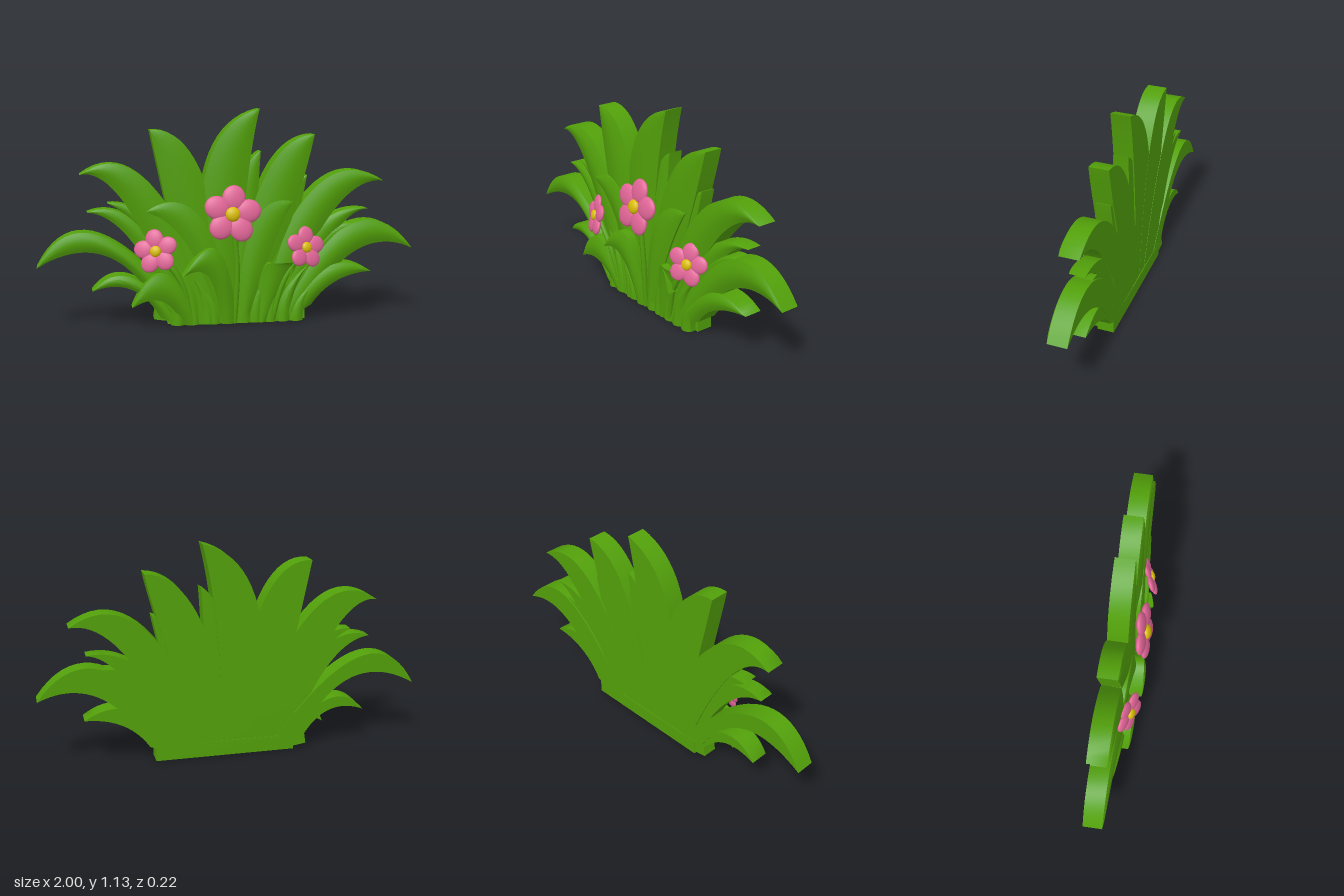
import * as THREE from 'three';
import { toCreasedNormals } from 'three/addons/utils/BufferGeometryUtils.js';

const leafGreen = new THREE.MeshStandardMaterial({ name: 'leafGreen', color: 0x52a00a });
const petalPink = new THREE.MeshStandardMaterial({ name: 'petalPink', color: 0xe26698 });
const centreYellow = new THREE.MeshStandardMaterial({ name: 'centreYellow', color: 0xdabd06 });

const bez = (a, b, c, t) => (1 - t) * (1 - t) * a + 2 * t * (1 - t) * b + t * t * c;

// Thick blade between a left and a right edge curve that meet at the tip.
// e = [leftBase, leftControl, tip, rightControl, rightBase], each [x, y]
// front = depth of the front edge at base, middle and tip
function blade(name, e, front, back, dome) {
  const rows = 20, cols = 8, ring = cols + 3;
  const [lb, lc, tip, rc, rb] = e;
  const pos = [], idx = [];
  for (let i = 0; i <= rows; i++) {
    const t = i / rows;
    const L = [0, 1].map(k => bez(lb[k], lc[k], tip[k], t));
    const R = [0, 1].map(k => bez(rb[k], rc[k], tip[k], t));
    const z = bez(...front, t);
    const zb = Math.min(back, z - 0.02);
    pos.push(L[0], L[1], zb);
    for (let j = 0; j <= cols; j++) {
      const u = j / cols;
      const bulge = dome * Math.sqrt(1 - t) * Math.sin(Math.PI * u);
      pos.push(L[0] + (R[0] - L[0]) * u, L[1] + (R[1] - L[1]) * u, z + bulge);
    }
    pos.push(R[0], R[1], zb);
  }
  for (let i = 0; i < rows; i++) {
    for (let j = 0; j < ring; j++) {
      const a = i * ring + j, b = i * ring + (j + 1) % ring;
      idx.push(a, b, b + ring, a, b + ring, a + ring);
    }
  }
  for (let j = 1; j < ring - 1; j++) idx.push(0, j + 1, j); // base cap
  const g = new THREE.BufferGeometry();
  g.setAttribute('position', new THREE.Float32BufferAttribute(pos, 3));
  g.setIndex(idx);
  const mesh = new THREE.Mesh(toCreasedNormals(g, 0.7), leafGreen);
  mesh.name = name;
  return mesh;
}

// Five-petalled flower facing +z before it is turned
function flower(name, x, y, z, r, rx, ry, spin) {
  const f = new THREE.Group();
  f.name = name;
  for (let i = 0; i < 5; i++) {
    const a = Math.PI / 2 + spin + i * Math.PI * 2 / 5;
    const p = new THREE.Mesh(new THREE.SphereGeometry(1, 20, 12), petalPink);
    p.name = 'petal';
    p.scale.set(r * 0.44, r * 0.4, r * 0.15);
    p.position.set(Math.cos(a) * r * 0.56, Math.sin(a) * r * 0.56, 0);
    p.rotation.z = a;
    f.add(p);
  }
  const c = new THREE.Mesh(new THREE.SphereGeometry(1, 20, 12), centreYellow);
  c.name = 'flowerCentre';
  c.scale.set(r * 0.25, r * 0.25, r * 0.14);
  c.position.z = r * 0.1;
  f.add(c);
  f.position.set(x, y, z);
  f.rotation.set(rx, ry, 0);
  return f;
}

function stem(pts) {
  const curve = new THREE.CatmullRomCurve3(pts.map(p => new THREE.Vector3(...p)));
  const m = new THREE.Mesh(new THREE.TubeGeometry(curve, 16, 0.014, 8), leafGreen);
  m.name = 'flowerStem';
  return m;
}

export function createModel() {
  const model = new THREE.Group();
  model.name = 'floweringGrass';

  // Big back leaves
  const large = [
    [[-0.12, 0], [-0.28, 1.02], [0.155, 1.125], [0.06, 0.75], [0.05, 0]],
    [[-0.2, 0], [-0.36, 0.75], [-0.415, 1.02], [-0.08, 1.05], [0, 0]],
    [[0, 0], [0.11, 0.98], [0.45, 0.99], [0.4, 0.75], [0.16, 0]],
    [[-0.26, 0], [-0.55, 0.85], [-0.775, 0.795], [-0.4, 1.07], [-0.05, 0]],
    [[0.09, 0], [0.42, 1.02], [0.83, 0.74], [0.55, 0.78], [0.27, 0]],
    [[-0.38, 0.09], [-0.62, 0.55], [-1, 0.32], [-0.75, 0.8], [-0.18, 0]],
    [[0.2, 0], [0.68, 0.82], [1, 0.37], [0.68, 0.52], [0.43, 0.08]],
  ];
  large.forEach((e, i) => model.add(
    blade('largeLeaf', e, [0.0, 0.012 - i * 0.002, 0.002 - i * 0.001], -0.1 - i * 0.0008, 0.028)));

  // Small leaf tips showing between the big ones
  const small = [
    [[-0.02, 0], [-0.02, 0.82], [0.165, 0.905], [0.14, 0.6], [0.14, 0]],
    [[-0.24, 0], [-0.27, 0.7], [-0.355, 0.79], [-0.12, 0.78], [-0.05, 0]],
    [[0.08, 0], [0.18, 0.7], [0.415, 0.775], [0.38, 0.58], [0.22, 0]],
    [[-0.3, 0], [-0.5, 0.58], [-0.74, 0.6], [-0.45, 0.72], [-0.15, 0]],
    [[-0.25, 0], [-0.42, 0.55], [-0.635, 0.645], [-0.36, 0.68], [-0.12, 0]],
    [[0.15, 0], [0.42, 0.65], [0.75, 0.59], [0.56, 0.58], [0.32, 0]],
    [[0.18, 0], [0.45, 0.56], [0.7, 0.51], [0.52, 0.45], [0.34, 0]],
    [[-0.37, 0.04], [-0.5, 0.28], [-0.72, 0.19], [-0.54, 0.42], [-0.25, 0]],
    [[0.26, 0], [0.5, 0.43], [0.77, 0.25], [0.55, 0.25], [0.44, 0.08]],
  ];
  small.forEach((e, i) => model.add(
    blade('smallLeaf', e, [0.005, i > 6 ? 0.03 : -0.012, i > 6 ? 0.0 : -0.015], -0.094 - i * 0.0006, 0.022)));

  // Leaves in front, some drooping forward
  const frontLeaves = [
    [[[-0.07, 0], [-0.2, 0.55], [-0.45, 0.6], [-0.1, 0.83], [0.02, 0]], [0.015, 0.045, 0.02]],
    [[[0.03, 0], [0.05, 0.72], [0.33, 0.64], [0.2, 0.4], [0.1, 0]], [0.015, 0.045, 0.02]],
    [[[-0.06, 0], [-0.08, 0.38], [-0.26, 0.27], [-0.03, 0.65], [0.03, 0]], [0.02, 0.1, 0.095]],
    [[[-0.26, 0], [-0.34, 0.22], [-0.52, 0.11], [-0.36, 0.5], [-0.16, 0]], [0.015, 0.08, 0.06]],
    [[[0.13, 0], [0.15, 0.52], [0.29, 0.2], [0.4, 0.52], [0.2, 0]], [0.015, 0.055, 0.085]],
  ];
  frontLeaves.forEach(([e, z], i) => model.add(blade('frontLeaf', e, z, i < 2 ? -0.05 : -0.02, 0.022)));

  // Short stalks along the foot of the clump
  const stalks = [
    [-0.28, -0.4, 0.24], [-0.2, -0.32, 0.36], [-0.12, -0.2, 0.25], [-0.09, -0.17, 0.2],
    [0.07, 0.14, 0.34], [0.13, 0.24, 0.32], [0.21, 0.3, 0.3], [0.28, 0.42, 0.3], [0.35, 0.45, 0.2],
  ];
  stalks.forEach(([x, tx, h]) => model.add(blade('stalk',
    [[x - 0.035, 0], [x - 0.03, h * 0.6], [tx, h], [x + 0.04, h * 0.6], [x + 0.04, 0]],
    [0.018, 0.025, 0.02], -0.08, 0.02)));

  // Strip joining the leaves at the ground
  const base = new THREE.Mesh(new THREE.BoxGeometry(0.74, 0.08, 0.09), leafGreen);
  base.name = 'base';
  base.position.set(0.04, 0.04, -0.06);
  model.add(base);
  const corner = new THREE.Mesh(new THREE.BoxGeometry(0.12, 0.075, 0.08), leafGreen);
  corner.name = 'baseCorner';
  corner.position.set(-0.335, 0.053, -0.062);
  corner.rotation.z = -0.15;
  model.add(corner);

  // Flowers on their stems
  model.add(
    flower('middleFlower', 0, 0.585, 0.07, 0.153, -0.2, 0, -0.12),
    flower('rightFlower', -0.395, 0.4, 0.05, 0.117, -0.25, -0.33, 0.1),
    flower('leftFlower', 0.395, 0.398, 0.05, 0.114, -0.25, 0.33, -0.05),
    stem([[0.02, 0, 0.02], [0.03, 0.3, 0.045], [0, 0.58, 0.055]]),
    stem([[-0.2, 0, 0.02], [-0.27, 0.24, 0.04], [-0.395, 0.4, 0.035]]),
    stem([[0.22, 0, 0.02], [0.28, 0.22, 0.04], [0.395, 0.4, 0.035]]));
  return model;
}
